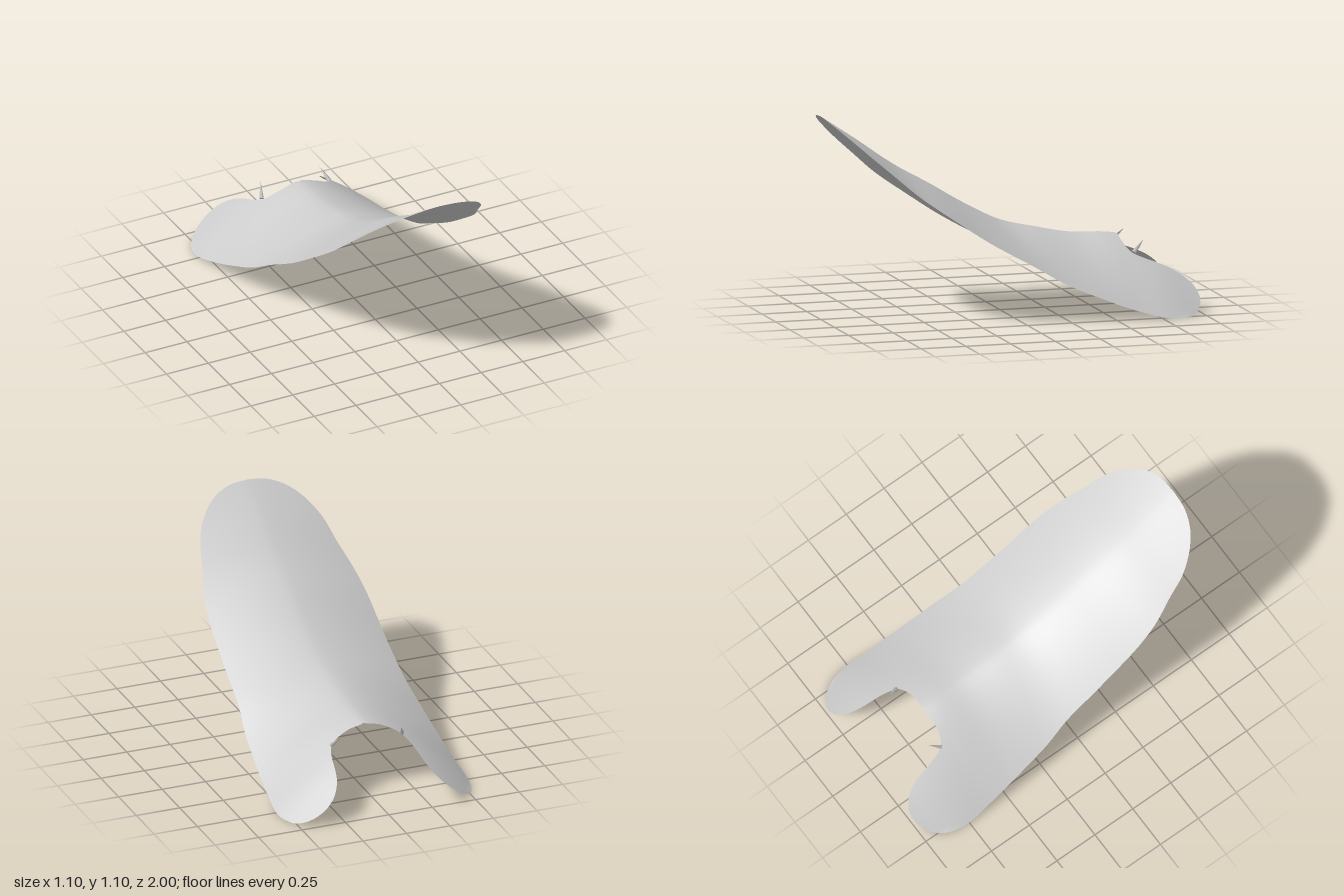
import * as THREE from 'three';
import { mergeVertices } from 'three/addons/utils/BufferGeometryUtils.js';

const spline = (pts) => new THREE.CatmullRomCurve3(
  pts.map((p) => new THREE.Vector3(...p)), false, 'catmullrom', 0.5);

// [ridge height, drop at the side, half width] from z = 1 back to z = -1 in equal steps
const sections = spline([
  [1.10, 0.06, 0.46], [0.965, 0.09, 0.46], [0.825, 0.11, 0.46], [0.71, 0.127, 0.46],
  [0.59, 0.14, 0.465], [0.49, 0.155, 0.475], [0.44, 0.22, 0.50], [0.40, 0.268, 0.52],
  [0.39, 0.335, 0.54], [0.352, 0.352, 0.55], [0.282, 0.36, 0.55],
]);

// Height of the arched sheet above any point of its plan
function height(x, z) {
  const s = sections.getPoint(THREE.MathUtils.clamp((1 - z) / 2, 0, 1));
  return Math.max(0, s.x - s.y * Math.pow(Math.abs(x) / s.z, 1.54));
}

// Stations from the front tip to the leg tip: [x, z] on the inner and the outer edge
const stations = [
  [0, 1.0, 0, 1.0], [0, 0.98, 0.11, 0.992], [0, 0.94, 0.21, 0.955], [0, 0.87, 0.29, 0.89],
  [0, 0.78, 0.352, 0.80], [0, 0.68, 0.387, 0.69], [0, 0.56, 0.432, 0.56], [0, 0.42, 0.455, 0.42],
  [0, 0.26, 0.463, 0.25], [0, 0.1, 0.47, 0.08], [0, -0.06, 0.478, -0.06], [0, -0.22, 0.502, -0.2],
  [0, -0.38, 0.518, -0.35], [0, -0.52, 0.53, -0.47], [0, -0.64, 0.538, -0.56],
  [0.09, -0.646, 0.543, -0.62], [0.165, -0.66, 0.548, -0.67], [0.205, -0.69, 0.552, -0.72],
  [0.23, -0.76, 0.551, -0.78], [0.244, -0.84, 0.54, -0.84], [0.262, -0.91, 0.515, -0.90],
  [0.295, -0.965, 0.47, -0.955], [0.335, -0.993, 0.42, -0.988], [0.375, -1.0, 0.375, -1.0],
];
const innerEdge = spline(stations.map(([x, z]) => [x, 0, z]));
const outerEdge = spline(stations.map((s) => [s[2], 0, s[3]]));

// Both mirrored halves, welded along the ridge
function sheetGeometry(rows = 92, cols = 18) {
  const pos = [], index = [];
  for (const side of [1, -1]) {
    const base = pos.length / 3;
    for (let i = 0; i <= rows; i++) {
      const a = innerEdge.getPoint(i / rows), b = outerEdge.getPoint(i / rows);
      for (let j = 0; j <= cols; j++) {
        const x = Math.max(0, THREE.MathUtils.lerp(a.x, b.x, j / cols));
        const z = THREE.MathUtils.clamp(THREE.MathUtils.lerp(a.z, b.z, j / cols), -1, 1);
        pos.push(side * x, height(x, z), z);
      }
    }
    for (let i = 0; i < rows; i++) {
      for (let j = 0; j < cols; j++) {
        const p = base + i * (cols + 1) + j, q = p + cols + 1;
        if (side > 0) index.push(p, p + 1, q, q, p + 1, q + 1);
        else index.push(p, q, p + 1, q, q + 1, p + 1);
      }
    }
  }
  const g = new THREE.BufferGeometry();
  g.setAttribute('position', new THREE.Float32BufferAttribute(pos, 3));
  g.setIndex(index);
  const welded = mergeVertices(g, 1e-5);
  welded.computeVertexNormals();
  return welded;
}

export function createModel() {
  const group = new THREE.Group();
  group.name = 'archedSheet';
  const grey = new THREE.MeshStandardMaterial({ color: 0xcccccc, side: THREE.DoubleSide });
  grey.name = 'light grey';

  // Curved sheet with two rear legs
  const sheet = new THREE.Mesh(sheetGeometry(), grey);
  sheet.name = 'sheet';
  group.add(sheet);

  // Small thorn at each corner of the rear notch
  for (const side of [1, -1]) {
    const from = new THREE.Vector3(side * 0.203, 0.308, -0.685);
    const tip = new THREE.Vector3(side * 0.176, 0.372, -0.747);
    const dir = tip.clone().sub(from);
    const thorn = new THREE.Mesh(new THREE.ConeGeometry(0.014, dir.length(), 4), grey);
    thorn.position.copy(from).addScaledVector(dir, 0.5);
    thorn.quaternion.setFromUnitVectors(new THREE.Vector3(0, 1, 0), dir.normalize());
    thorn.name = side > 0 ? 'leftThorn' : 'rightThorn';
    group.add(thorn);
  }
  return group;
}
